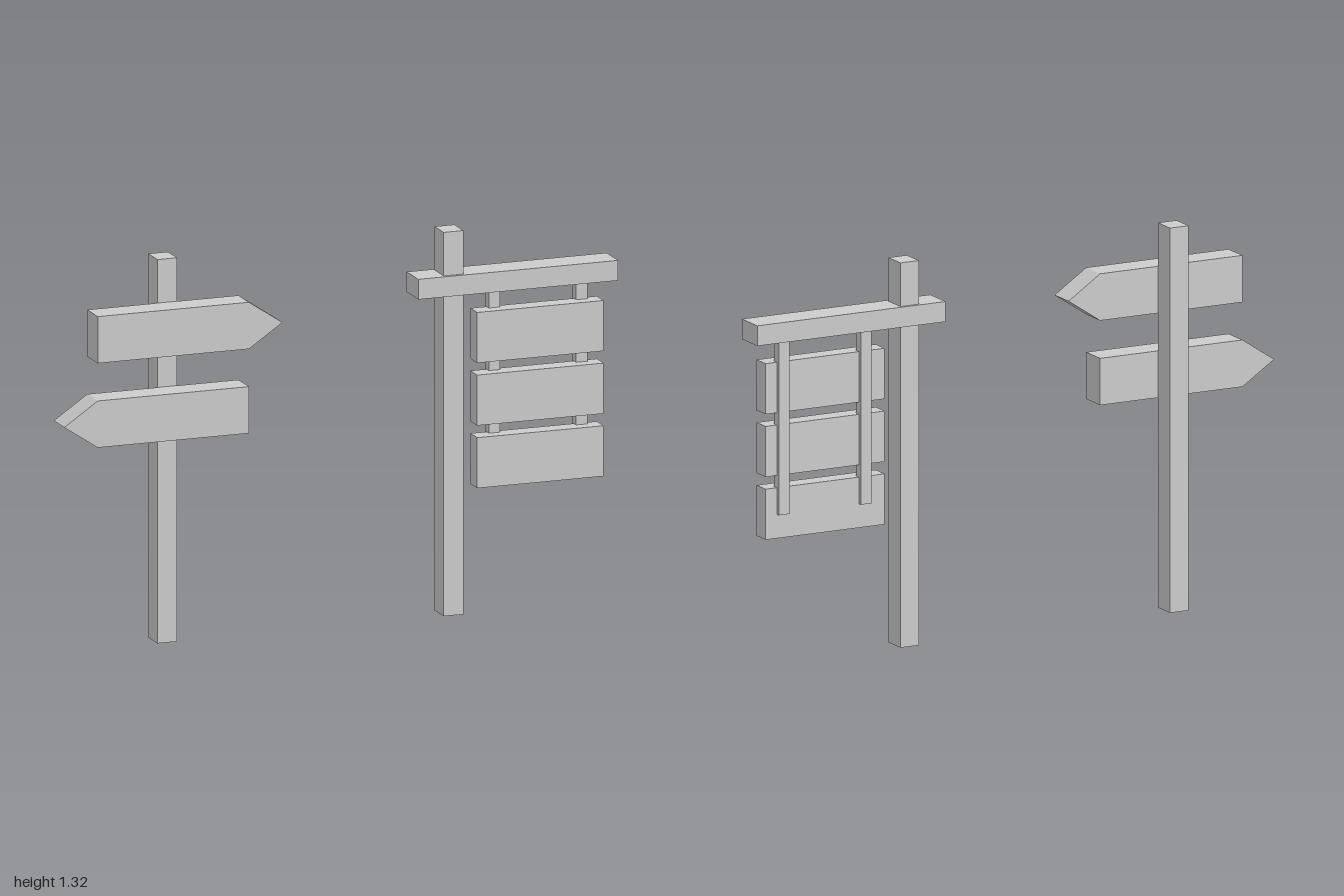
import * as THREE from 'three';

const material = new THREE.MeshStandardMaterial({ color: 0xcccccc, flatShading: true });

// Box given by its min and max on each axis
function box(name, [x0, x1], [y0, y1], [z0, z1]) {
  const mesh = new THREE.Mesh(new THREE.BoxGeometry(x1 - x0, y1 - y0, z1 - z0), material);
  mesh.position.set((x0 + x1) / 2, (y0 + y1) / 2, (z0 + z1) / 2);
  mesh.name = name;
  return mesh;
}

// Pointed board: flat end at x = 0, tip towards dir (+1 or -1)
function arrowBoard(name, x, y, dir) {
  const half = 0.08, body = 0.537, tip = 0.656;
  const points = [[0, -half], [body, -half], [tip, 0], [body, half], [0, half]];
  const shape = new THREE.Shape(points.map(([px, py]) => new THREE.Vector2(px * dir, py)));
  const geometry = new THREE.ExtrudeGeometry(shape, { depth: 0.098, bevelEnabled: false });
  const mesh = new THREE.Mesh(geometry, material);
  mesh.position.set(x, y, 0);
  mesh.name = name;
  return mesh;
}

export function createModel() {
  const model = new THREE.Group();
  model.name = 'signposts';
  const postHeight = [0, 1.315], postDepth = [-0.085, 0];

  // Direction signpost with two opposed arrows
  const arrowSign = new THREE.Group();
  arrowSign.name = 'arrowSignpost';
  arrowSign.add(
    box('arrowPost', [-0.632, -0.562], postHeight, postDepth),
    arrowBoard('upperArrow', -0.881, 1.086, 1),
    arrowBoard('lowerArrow', -0.344, 0.797, -1)
  );

  // Post with a cross beam and hanging boards
  const hangingSign = new THREE.Group();
  hangingSign.name = 'hangingSignpost';
  hangingSign.add(
    box('hangingPost', [0.385, 0.455], postHeight, postDepth),
    box('crossBeam', [0.29, 1.0], [1.097, 1.166], [-0.095, 0.013])
  );
  for (const x of [0.565, 0.875]) {
    hangingSign.add(box('hangingStrap', [x, x + 0.04], [0.507, 1.11], [-0.088, -0.052]));
  }
  for (let i = 0; i < 3; i++) {
    const y = 0.425 + i * 0.2145;
    hangingSign.add(box('hangingBoard', [0.508, 0.957], [y, y + 0.173], [-0.073, -0.01]));
  }

  model.add(arrowSign, hangingSign);
  return model;
}
